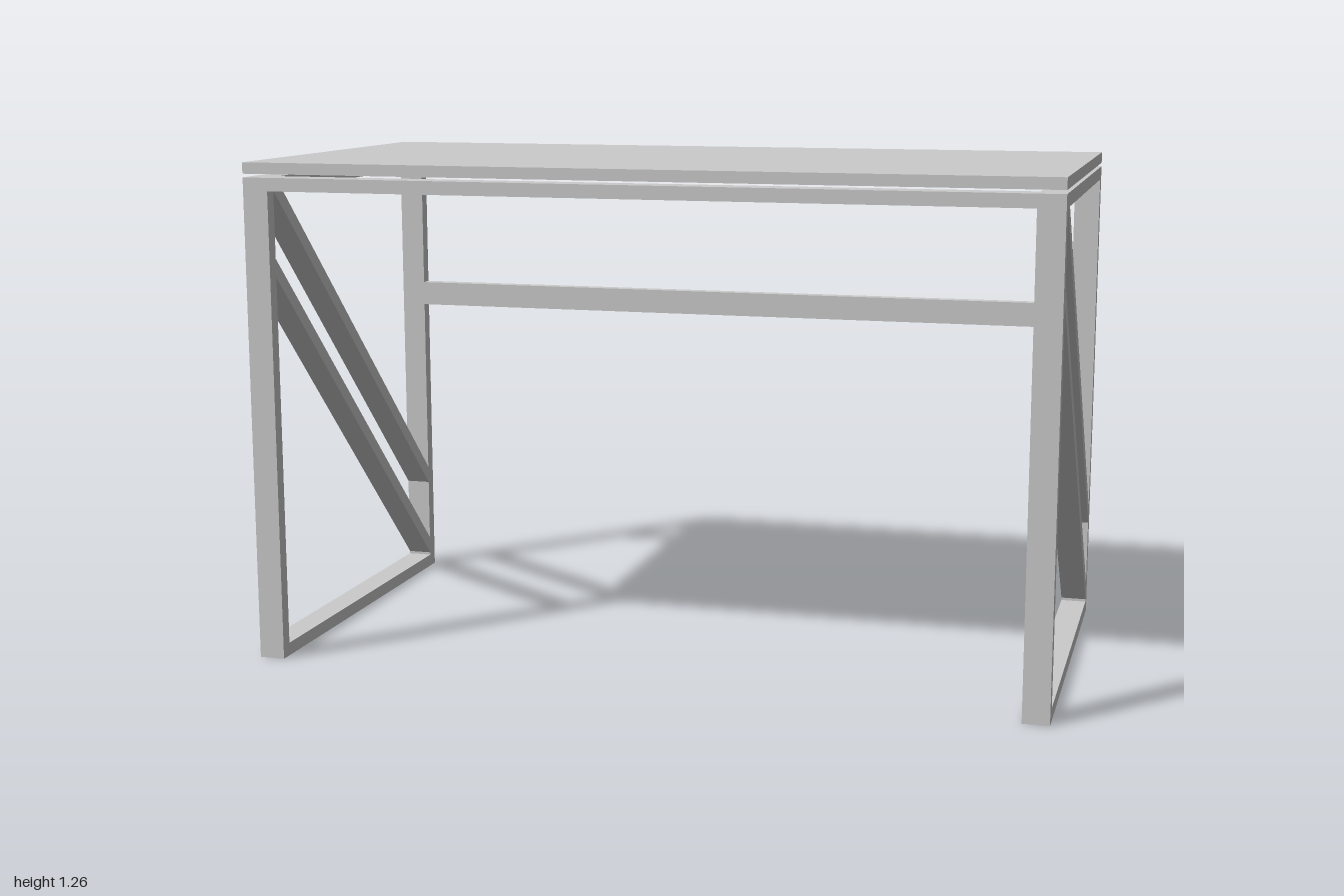
import * as THREE from 'three';

const T = 0.033;      // thin side of the bar stock
const W = 0.065;      // wide side of the bar stock
const FRAME_H = 1.223; // top of the steel frame
const IN_Z = 0.5 - T;  // inner face of the posts

const material = new THREE.MeshStandardMaterial({ color: 0xcccccc, flatShading: true });

function box(name, w, h, d, x, y, z) {
  const mesh = new THREE.Mesh(new THREE.BoxGeometry(w, h, d), material);
  mesh.name = name;
  mesh.position.set(x, y, z);
  return mesh;
}

// Diagonal bar from a [z, y] outline, extruded across the frame width
function brace(name, outline) {
  const shape = new THREE.Shape(outline.map(([z, y]) => new THREE.Vector2(z, y)));
  const geometry = new THREE.ExtrudeGeometry(shape, { depth: W, bevelEnabled: false });
  geometry.translate(0, 0, -W / 2).rotateY(-Math.PI / 2);
  const mesh = new THREE.Mesh(geometry, material);
  mesh.name = name;
  return mesh;
}

// One side: two posts, floor rail, top rail and two parallel 45 degree braces
function sideFrame(name, x) {
  const group = new THREE.Group();
  group.name = name;
  group.position.x = x;
  const top = FRAME_H - T;
  group.add(
    box('frontLeg', W, top, T, 0, top / 2, 0.5 - T / 2),
    box('backLeg', W, top, T, 0, top / 2, -0.5 + T / 2),
    box('floorRail', W, T, 2 * IN_Z, 0, T / 2, 0),
    box('topSideRail', W, T, 1, 0, FRAME_H - T / 2, 0),
    brace('upperBrace', [[-IN_Z, 0.256], [IN_Z, top], [0.42, top], [-IN_Z, 0.303]]),
    brace('lowerBrace', [[-IN_Z, 0.04], [IN_Z, 0.974], [IN_Z, 1.021], [-IN_Z, 0.087]])
  );
  return group;
}

export function createModel() {
  const desk = new THREE.Group();
  desk.name = 'desk';
  const span = 2 - 2 * W;

  // Tabletop, held slightly clear of the frame
  desk.add(box('tabletop', 2, 0.028, 1, 0, 1.246, 0));

  desk.add(sideFrame('leftFrame', 1 - W / 2), sideFrame('rightFrame', -1 + W / 2));

  // Long rails under the top, laid flat
  for (const [name, s] of [['frontTopRail', 1], ['backTopRail', -1]]) {
    desk.add(box(name, span, T, W, 0, FRAME_H - T / 2, s * (0.5 - W / 2)));
  }

  // Stretcher between the back legs, on edge
  desk.add(box('backStretcher', span, W, T, 0, 0.822, -0.5 + T / 2));

  return desk;
}
